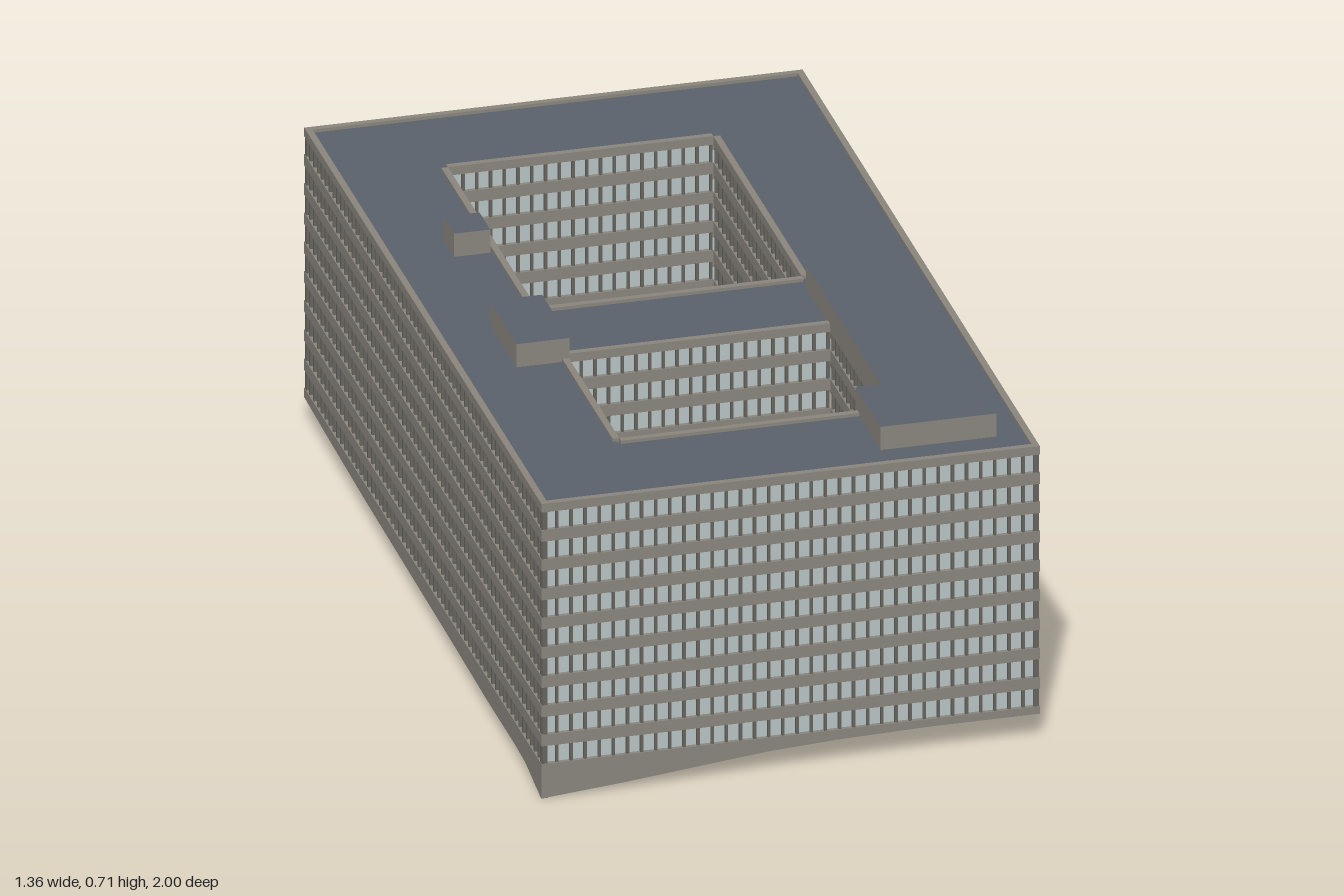
import * as THREE from 'three';
import { mergeGeometries } from 'three/addons/utils/BufferGeometryUtils.js';

const mat = (name, color, side = THREE.FrontSide) => {
  const m = new THREE.MeshStandardMaterial({ color, side });
  m.name = name;
  return m;
};

export function createModel() {
  const concrete = mat('concrete', 0x89857d);
  const mullionGrey = mat('mullion grey', 0x67645e);
  const glass = mat('glass', 0xb9c4c5, THREE.DoubleSide);
  const slate = mat('roof slate', 0x59616a);

  const model = new THREE.Group();
  model.name = 'officeBlock';
  const building = new THREE.Group();
  building.name = 'building';
  building.rotation.y = THREE.MathUtils.degToRad(10.4);
  model.add(building);

  const add = (parent, name, geometry, material) => {
    const mesh = new THREE.Mesh(geometry, material);
    mesh.name = name;
    parent.add(mesh);
    return mesh;
  };
  const box = (w, h, d, x, y, z) => new THREE.BoxGeometry(w, h, d).translate(x, y, z);

  const FLOORS = 9, PITCH = 0.0657, SILL = 0.077, WINDOW = 0.04;
  const BASE = 0.06, TOP = 0.662, ROOF = 0.655, BAY = 0.03, T = 0.014;

  // One facade: local x runs along the wall, local z points outward
  function wall(name, length, x, z, turn) {
    const g = new THREE.Group();
    g.name = name;
    g.position.set(x, 0, z);
    g.rotation.y = turn;
    building.add(g);

    // Spandrel bands between the window rows
    const bands = [];
    for (let i = 0; i <= FLOORS; i++) {
      const low = i === 0 ? BASE : SILL + (i - 1) * PITCH + WINDOW;
      const high = i === FLOORS ? TOP : SILL + i * PITCH;
      bands.push(box(length, high - low, T, 0, (low + high) / 2, -T / 2));
    }
    add(g, 'spandrelBands', mergeGeometries(bands), concrete);

    // Upright mullions, set just behind the band faces
    const bays = Math.round(length / BAY), fins = [];
    const span = length - 0.008;
    for (let i = 0; i <= bays; i++) {
      fins.push(box(0.006, TOP - BASE - 0.01, 0.011, -span / 2 + (span * i) / bays, (TOP + BASE) / 2, -0.0075));
    }
    add(g, 'mullions', mergeGeometries(fins), mullionGrey);

    // Recessed glazing
    const pane = new THREE.PlaneGeometry(length - 0.012, TOP - BASE - 0.01);
    add(g, 'glazing', pane.translate(0, (TOP + BASE) / 2, -0.009), glass);
    return g;
  }

  // Four walls round a rectangle, facing outward or into a courtyard
  function ring(name, [x0, x1, z0, z1], inward) {
    const flip = inward ? Math.PI : 0;
    const w = x1 - x0, d = z1 - z0, cx = (x0 + x1) / 2, cz = (z0 + z1) / 2;
    return {
      front: wall(name + 'FrontWall', w, cx, z1, flip),
      back: wall(name + 'BackWall', w, cx, z0, Math.PI + flip),
      left: wall(name + 'LeftWall', d, x1, cz, Math.PI / 2 + flip),
      right: wall(name + 'RightWall', d, x0, cz, -Math.PI / 2 + flip),
    };
  }

  const outline = [-0.524, 0.524, -0.92, 0.92];
  const courts = [[-0.291, 0.267, -0.664, 0.019], [-0.29, 0.265, 0.25, 0.66]];
  const outer = ring('outer', outline, false);
  courts.forEach((c, i) => ring(i ? 'frontCourt' : 'rearCourt', c, true));

  // Plinths that follow the sloping ground
  function plinth(parent, points) {
    const shape = new THREE.Shape();
    shape.moveTo(points[0][0], BASE + 0.002);
    points.forEach(([x, y]) => shape.lineTo(x, y));
    shape.lineTo(points[points.length - 1][0], BASE + 0.002);
    const geo = new THREE.ExtrudeGeometry(shape, { depth: T, bevelEnabled: false });
    add(parent, 'plinth', geo.translate(0, 0, -T), concrete);
  }
  plinth(outer.front, [[-0.524, 0], [-0.35, 0.015], [-0.17, 0.034], [-0.04, 0.047], [0.1, 0.055], [0.3, 0.06]]);
  plinth(outer.right, [[-0.92, 0.056], [-0.75, 0.05], [-0.46, 0.042], [-0.1, 0.037], [0.2, 0.033],
    [0.5, 0.027], [0.72, 0.027], [0.8, 0.023], [0.87, 0.008], [0.92, 0]]);

  // Roof slab with two courtyard openings
  const rect = (path, [x0, x1, z0, z1], inset) => {
    path.moveTo(x0 + inset, z0 + inset);
    path.lineTo(x1 - inset, z0 + inset);
    path.lineTo(x1 - inset, z1 - inset);
    path.lineTo(x0 + inset, z1 - inset);
    path.closePath();
    return path;
  };
  const slab = rect(new THREE.Shape(), outline, 0.006);
  courts.forEach((c) => slab.holes.push(rect(new THREE.Path(), c, -0.006)));
  const roof = new THREE.ExtrudeGeometry(slab, { depth: 0.01, bevelEnabled: false });
  add(building, 'roof', roof.rotateX(Math.PI / 2).translate(0, ROOF, 0), slate);

  // Rooftop plant rooms: concrete sides, slate tops
  const faces = [concrete, concrete, slate, concrete, concrete, concrete];
  const plantRooms = {
    longPlantRoom: [0.264, 0.455, 0.065, 0.84],
    longPlantRoomWing: [0.211, 0.264, 0.645, 0.84],
    middlePlantRoom: [-0.4, -0.289, 0.058, 0.27],
    smallPlantRoom: [-0.386, -0.31, -0.35, -0.266],
  };
  for (const [name, [x0, x1, z0, z1]] of Object.entries(plantRooms)) {
    const h = 0.707 - 0.65;
    add(building, name, box(x1 - x0, h, z1 - z0, (x0 + x1) / 2, 0.65 + h / 2, (z0 + z1) / 2), faces);
  }
  return model;
}
